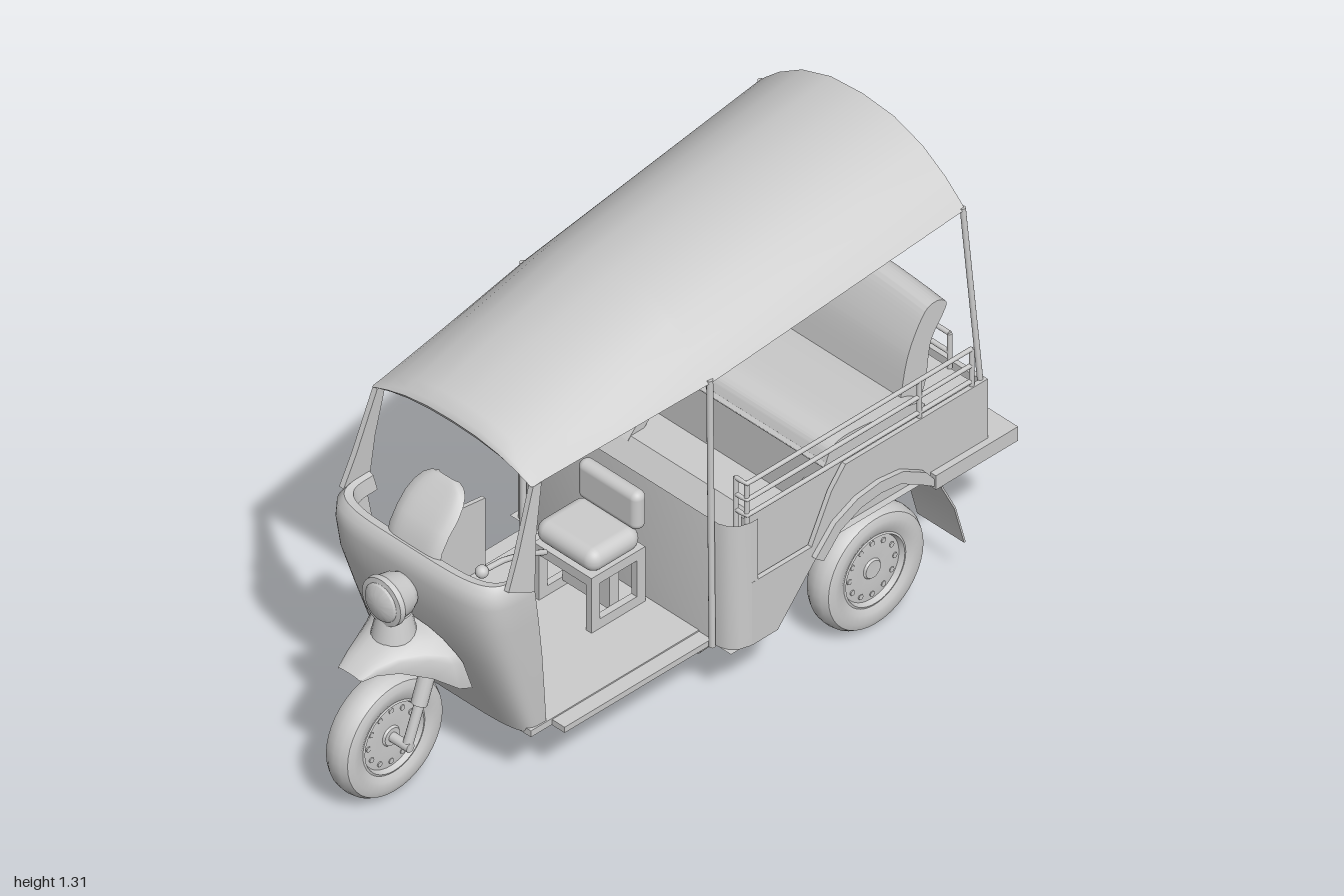
import * as THREE from 'three';
import { toCreasedNormals } from 'three/addons/utils/BufferGeometryUtils.js';
import { RoundedBoxGeometry } from 'three/addons/geometries/RoundedBoxGeometry.js';

const mat = new THREE.MeshStandardMaterial({ color: 0xcccccc, side: THREE.DoubleSide });
const V = (p) => new THREE.Vector3(...p);

export function createModel() {
  const model = new THREE.Group();

  const add = (name, geo, x = 0, y = 0, z = 0, parent = model) => {
    const m = new THREE.Mesh(geo, mat);
    m.name = name;
    m.position.set(x, y, z);
    parent.add(m);
    return m;
  };
  const box = (name, w, h, d, x, y, z) => add(name, new THREE.BoxGeometry(w, h, d), x, y, z);
  const soft = (name, w, h, d, r, x, y, z) => add(name, new RoundedBoxGeometry(w, h, d, 4, r), x, y, z);
  // straight round bar between two points
  const rod = (name, a, b, r) => {
    const p = V(a), q = V(b), dir = q.clone().sub(p);
    const m = add(name, new THREE.CylinderGeometry(r, r, dir.length(), 14));
    m.position.copy(p).add(q).multiplyScalar(0.5);
    m.quaternion.setFromUnitVectors(new THREE.Vector3(0, 1, 0), dir.normalize());
  };
  const tube = (name, pts, r) =>
    add(name, new THREE.TubeGeometry(new THREE.CatmullRomCurve3(pts.map(V), false, 'catmullrom', 0.2), 40, r, 8));
  // side profile of [z, y] points, extruded across x
  const profile = (name, pts, x, width, smooth = false) => {
    const s = new THREE.Shape();
    const v = pts.map((p) => new THREE.Vector2(...p));
    if (smooth) { s.moveTo(v[0].x, v[0].y); s.splineThru([...v.slice(1), v[0]]); } else s.setFromPoints(v);
    const g = new THREE.ExtrudeGeometry(s, { depth: width, steps: smooth ? 12 : 1, bevelEnabled: false, curveSegments: 40 });
    g.translate(0, 0, -width / 2).rotateY(-Math.PI / 2);
    return add(name, toCreasedNormals(g, 0.7), x);
  };
  // surface through rows of [x, y, z] points
  const loft = (name, rows, crease = 0.8) => {
    const n = rows[0].length, idx = [];
    for (let i = 0; i < rows.length - 1; i++)
      for (let j = 0; j < n - 1; j++) {
        const a = i * n + j, b = a + n;
        idx.push(a, a + 1, b, b, a + 1, b + 1);
      }
    const g = new THREE.BufferGeometry();
    g.setAttribute('position', new THREE.Float32BufferAttribute(rows.flat(2), 3));
    g.setIndex(idx);
    return add(name, toCreasedNormals(g, crease));
  };
  const span = (n) => Array.from({ length: n + 1 }, (_, i) => (i / n) * 2 - 1);

  // canopy: arched sections [z, half width, edge height, rise]
  const arch = ([z, w, y, h]) => span(10).map((t) => {
    const s = Math.sin((t * Math.PI) / 2);
    return [w * s, y + h * (1 - Math.abs(s) ** 2.4), z];
  });
  const canopy = [[0.555, 0.272, 1.0, 0.038], [0.575, 0.28, 0.998, 0.042], [0.583, 0.287, 1.0, 0.055], [0.575, 0.291, 1.0, 0.072], [0.54, 0.293, 1.003, 0.085],
    [0.3, 0.315, 1.022, 0.129], [0.01, 0.343, 1.047, 0.17], [-0.01, 0.345, 1.049, 0.172], [-0.87, 0.372, 1.145, 0.166]];
  loft('canopy', canopy.map(arch));

  // front fascia: rounded U sections [y, half width, back z, front z]
  const power = (v) => Math.sign(v) * Math.abs(v) ** 0.45;
  const uRow = ([y, w, zb, zf]) => span(32).map((t) => {
    const a = (t * Math.PI) / 2;
    return [w * power(Math.sin(a)), y, zb + (zf - zb) * power(Math.max(0, Math.cos(a)))];
  });
  loft('frontFascia', [[0.2, 0.28, 0.52, 0.6], [0.32, 0.288, 0.535, 0.65], [0.45, 0.295, 0.55, 0.7], [0.58, 0.302, 0.57, 0.745],
    [0.67, 0.306, 0.585, 0.757], [0.715, 0.303, 0.59, 0.753], [0.733, 0.29, 0.59, 0.735], [0.728, 0.275, 0.59, 0.71], [0.68, 0.27, 0.58, 0.7]].map(uRow));

  // leaning instrument hood above the fascia: [z, y, half width]
  loft('instrumentHood', [[0.735, 0.7, 0.095], [0.72, 0.755, 0.095], [0.695, 0.795, 0.095], [0.665, 0.828, 0.095], [0.64, 0.853, 0.088],
    [0.62, 0.871, 0.076], [0.607, 0.882, 0.058], [0.6, 0.886, 0.035]]
    .map(([z, y, w]) => span(12).map((t) => [w * t, y - 0.008 * t ** 6, z - 0.012 * t ** 6])));

  // headlight on its pedestal
  const lampProfile = [[0, 0.1], [0.03, 0.097], [0.052, 0.088], [0.056, 0.082], [0.07, 0.08], [0.072, 0.065], [0.066, 0.055], [0.06, 0.02], [0.05, 0]];
  const lamp = new THREE.LatheGeometry(lampProfile.map((p) => new THREE.Vector2(...p)), 32).rotateX(Math.PI / 2);
  add('headlight', toCreasedNormals(lamp, 0.6), 0, 0.605, 0.75);
  add('headlightPedestal', new THREE.CylinderGeometry(0.045, 0.06, 0.07, 20), 0, 0.52, 0.785);

  // front mudguard: shouldered sections [z, half width, top y, side y, forward lean]
  const shoulder = [[-1, 0], [-1, 0.55], [-0.9, 0.68], [-0.65, 0.88], [-0.35, 0.98], [0, 1], [0.35, 0.98], [0.65, 0.88], [0.9, 0.68], [1, 0.55], [1, 0]];
  loft('frontMudguard', [[0.945, 0.04, 0.44, 0.432, 0], [0.9, 0.055, 0.465, 0.437, 0], [0.84, 0.078, 0.487, 0.425, 0], [0.76, 0.115, 0.5, 0.385, 0.02],
    [0.7, 0.15, 0.503, 0.34, 0.04], [0.66, 0.156, 0.503, 0.325, 0.06]]
    .map(([z, w, top, side, lean]) => shoulder.map(([u, v]) => [w * u, side + (top - side) * v, z + lean * v])), 1);

  // wheels
  const lathe = (pts) => toCreasedNormals(
    new THREE.LatheGeometry(pts.map((p) => new THREE.Vector2(...p)), 40).rotateZ(-Math.PI / 2), 0.6);
  const wheel = (name, x, z) => {
    const g = new THREE.Group();
    g.name = name;
    g.position.set(x, 0.185, z);
    model.add(g);
    add('tyre', lathe([[0.108, -0.034], [0.125, -0.043], [0.15, -0.046], [0.168, -0.039], [0.178, -0.022], [0.181, 0],
      [0.178, 0.022], [0.168, 0.039], [0.15, 0.046], [0.125, 0.043], [0.108, 0.034]]), 0, 0, 0, g);
    for (const s of [-1, 1]) {
      add('rim', lathe([[0.112, 0.034 * s], [0.104, 0.037 * s], [0.098, 0.022 * s], [0.06, 0.026 * s], [0.03, 0.024 * s], [0.026, 0.03 * s], [0, 0.031 * s]]), 0, 0, 0, g);
      for (let i = 0; i < 12; i++) {
        const a = (i / 12) * Math.PI * 2;
        add('rimStud', new THREE.CylinderGeometry(0.008, 0.008, 0.008, 8).rotateZ(Math.PI / 2), 0.023 * s, 0.08 * Math.cos(a), 0.08 * Math.sin(a), g);
      }
    }
  };
  wheel('frontWheel', 0, 0.82);
  rod('frontAxle', [-0.095, 0.185, 0.82], [0.095, 0.185, 0.82], 0.014);
  box('forkCrown', 0.2, 0.025, 0.04, 0, 0.44, 0.74);
  rod('rearAxle', [-0.33, 0.18, -0.53], [0.33, 0.18, -0.53], 0.014);

  // cab floor, closed panel on the right-hand side, central hand lever
  box('cabFloor', 0.57, 0.02, 0.6, 0, 0.205, 0.28);
  profile('rightDoorPanel', [[0.19, 0.2], [0.56, 0.2], [0.57, 0.485], [0.19, 0.435]], -0.285, 0.012);
  tube('handLever', [[0, 0.51, 0.475], [0, 0.505, 0.4], [0, 0.485, 0.33], [0, 0.45, 0.25]], 0.008);
  add('leverKnob', new THREE.SphereGeometry(0.018, 14, 10), 0, 0.51, 0.475);

  // driver's seat on an open frame
  soft('driverCushion', 0.22, 0.07, 0.18, 0.034, 0, 0.425, 0.1);
  soft('driverBackrest', 0.22, 0.12, 0.045, 0.022, 0, 0.51, 0.015);
  box('seatFrameTop', 0.21, 0.03, 0.19, 0, 0.375, 0.095);
  box('seatEngineBlock', 0.17, 0.14, 0.035, 0, 0.305, 0.09);
  for (const x of [-0.095, 0.095]) {
    for (const z of [0.015, 0.175]) box('seatLeg', 0.02, 0.17, 0.03, x, 0.3, z);
    box('seatFrameFoot', 0.02, 0.03, 0.19, x, 0.23, 0.095);
  }

  // rounded bulkhead ahead of the passenger tub
  const corner = [[0.41, -0.1], [0.409, -0.075], [0.4, -0.045], [0.382, -0.025], [0.355, -0.014]];
  const plan = [...corner.map(([x, z]) => [-x, z]), ...corner.slice().reverse()];
  loft('bulkhead', [0.2, 0.595].map((y) => plan.map(([x, z]) => [x, y, z])));
  loft('tubFloor', [[-0.015, 0.2], [-0.17, 0.2], [-0.3, 0.38], [-0.91, 0.38]].map(([z, y]) => [-0.4, 0.4].map((x) => [x, y, z])), 0.2);
  box('tailPanel', 0.82, 0.22, 0.015, 0, 0.49, -0.905);
  box('rearBumper', 0.86, 0.045, 0.29, 0, 0.388, -0.855);

  // passenger bench
  box('benchBase', 0.76, 0.21, 0.47, 0, 0.485, -0.65);
  profile('benchCushion', [[-0.38, 0.6], [-0.4, 0.635], [-0.45, 0.65], [-0.56, 0.64], [-0.7, 0.615], [-0.7, 0.585], [-0.4, 0.58]], 0, 0.74, true);
  const back = profile('benchBackrest', [[-0.68, 0.6], [-0.71, 0.75], [-0.765, 0.865], [-0.81, 0.885], [-0.845, 0.86], [-0.83, 0.82], [-0.79, 0.75], [-0.76, 0.6]], 0, 0.66, true);
  const bp = back.geometry.attributes.position;
  for (let i = 0; i < bp.count; i++) bp.setY(i, bp.getY(i) - 0.13 * Math.max(0, bp.getY(i) - 0.7) * (bp.getX(i) / 0.33) ** 2);

  // rear wheel arch, thick over the wheel and thin at the flap
  const arcOut = [[-0.29, 0.37], [-0.36, 0.445], [-0.44, 0.482], [-0.52, 0.492], [-0.6, 0.482], [-0.68, 0.435], [-0.74, 0.36], [-0.79, 0.26], [-0.825, 0.13]];
  const arcIn = arcOut.map(([z, y], i) => {
    const k = i < 6 ? 0.88 : 0.98;
    return [-0.53 + (z + 0.53) * k, 0.185 + (y - 0.185) * k];
  });

  for (const s of [-1, 1]) {
    wheel('rearWheel', 0.358 * s, -0.53);
    profile('wheelArch', [...arcOut.slice(0, 7), ...arcIn.slice(0, 7).reverse()], 0.34 * s, 0.17);
    profile('mudFlap', [...arcOut.slice(6), ...arcIn.slice(6).reverse()], 0.335 * s, 0.17);
    profile('tubSide', [[-0.08, 0.2], [-0.17, 0.2], [-0.31, 0.36], [-0.38, 0.43], [-0.52, 0.47], [-0.66, 0.43], [-0.72, 0.38], [-0.91, 0.38],
      [-0.91, 0.6], [-0.41, 0.6], [-0.36, 0.54], [-0.29, 0.4], [-0.08, 0.4]], 0.403 * s, 0.014);
    box('tubInnerSide', 0.012, 0.21, 0.34, 0.385 * s, 0.495, -0.24);
    box('sideBoard', 0.05, 0.018, 0.53, 0.305 * s, 0.202, 0.24);

    // fork leg
    rod('forkUpper', [0.085 * s, 0.44, 0.73], [0.085 * s, 0.3, 0.78], 0.022);
    rod('forkLower', [0.085 * s, 0.31, 0.775], [0.082 * s, 0.18, 0.82], 0.014);

    // canopy supports
    const pillar = profile('windscreenPillar', [[0.59, 0.68], [0.68, 0.725], [0.64, 0.82], [0.577, 1.0], [0.547, 1.0], [0.575, 0.85]], 0.342 * s, 0.016);
    pillar.rotation.z = 0.06 * s;
    rod('middlePillar', [0.338 * s, 1.055, 0], [0.342 * s, 0.2, -0.005], 0.009);
    rod('rearPillar', [0.366 * s, 1.15, -0.867], [0.396 * s, 0.59, -0.9], 0.008);

    // side rails with turned-in front ends
    for (const y of [0.615, 0.665, 0.717])
      tube('sideRail', [[0.36 * s, y, -0.07], [0.39 * s, y, -0.07], [0.4 * s, y, -0.085], [0.4 * s, y, -0.5], [0.4 * s, y, -0.865]], 0.0065);
    for (const [x, z] of [[0.36, -0.07], [0.395, -0.075], [0.4, -0.68], [0.4, -0.865]])
      rod('railPost', [x * s, 0.4, z], [x * s, 0.717, z], 0.007);
    rod('rearRailPost', [0.3 * s, 0.59, -0.885], [0.3 * s, 0.7, -0.885], 0.007);
    rod('rearRailInnerPost', [0.1 * s, 0.59, -0.885], [0.1 * s, 0.7, -0.885], 0.006);
  }
  for (const y of [0.64, 0.7]) rod('rearRail', [-0.3, y, -0.885], [0.3, y, -0.885], 0.007);

  // exhaust
  tube('exhaustPipe', [[0.26, 0.2, 0.4], [0.26, 0.165, 0.39], [0.26, 0.15, 0.35], [0.26, 0.15, 0.15], [0.26, 0.15, -0.03]], 0.013);
  rod('muffler', [0.26, 0.15, -0.02], [0.26, 0.168, -0.29], 0.026);
  tube('tailPipe', [[0.26, 0.168, -0.28], [0.26, 0.185, -0.32], [0.26, 0.2, -0.37]], 0.013);

  return model;
}
